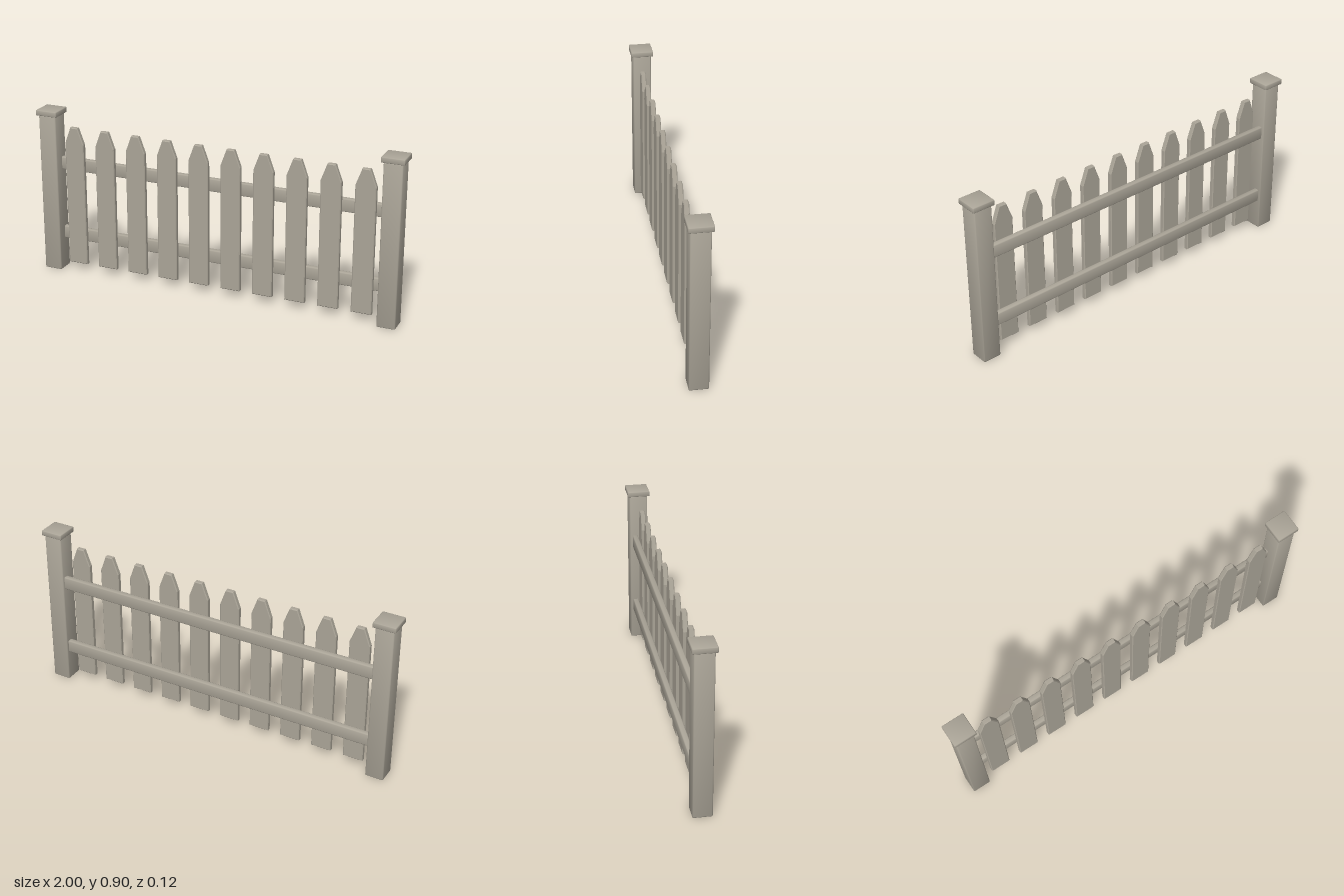
import * as THREE from 'three';
import { RoundedBoxGeometry } from 'three/addons/geometries/RoundedBoxGeometry.js';

const wood = new THREE.MeshStandardMaterial({ color: 0xaba598 });
wood.name = 'weathered wood';

// Box with a small bevel whose soft normals lean outward at the corners
function softBox(w, h, d, bevel) {
  const g = new RoundedBoxGeometry(w, h, d, 1, bevel);
  const p = g.attributes.position, n = g.attributes.normal;
  const v = new THREE.Vector3();
  for (let i = 0; i < p.count; i++) {
    v.set(Math.sign(p.getX(i)), Math.sign(p.getY(i)), Math.sign(p.getZ(i)));
    v.multiplyScalar(0.25).add(new THREE.Vector3().fromBufferAttribute(n, i)).normalize();
    n.setXYZ(i, v.x, v.y, v.z);
  }
  return g;
}

function add(parent, name, geometry, x, y, z) {
  const mesh = new THREE.Mesh(geometry, wood);
  mesh.name = name;
  mesh.position.set(x, y, z);
  parent.add(mesh);
}

// Pointed board with a blunt tip and chamfered edges
function picketGeometry() {
  const b = 0.004;
  const half = 0.054 - b, tip = 0.022 - b;
  const shape = new THREE.Shape();
  shape.moveTo(-half, 0.044 + b);
  shape.lineTo(half, 0.044 + b);
  shape.lineTo(half, 0.72);
  shape.lineTo(tip, 0.81 - b);
  shape.lineTo(-tip, 0.81 - b);
  shape.lineTo(-half, 0.72);
  shape.closePath();
  const g = new THREE.ExtrudeGeometry(shape, {
    depth: 0.026 - 2 * b, bevelEnabled: true, bevelSize: b, bevelThickness: b, bevelSegments: 1,
  });
  g.translate(0, 0, b - 0.006);
  return g;
}

export function createModel() {
  const fence = new THREE.Group();
  fence.name = 'picketFence';

  // End posts with square caps
  const postGeo = softBox(0.098, 0.867, 0.098, 0.006);
  const capGeo = softBox(0.12, 0.029, 0.12, 0.004);
  for (const side of [1, -1]) {
    const post = new THREE.Group();
    post.name = side > 0 ? 'leftPost' : 'rightPost';
    add(post, 'postShaft', postGeo, 0, 0.4335, 0);
    add(post, 'postCap', capGeo, 0, 0.881, 0);
    post.position.x = side * 0.94;
    fence.add(post);
  }

  // Horizontal rails behind the pickets
  const railGeo = softBox(1.8, 0.07, 0.03, 0.006);
  add(fence, 'lowerRail', railGeo, 0, 0.203, -0.02);
  add(fence, 'upperRail', railGeo, 0, 0.597, -0.02);

  // Row of ten pickets
  const picketGeo = picketGeometry();
  for (let i = 0; i < 10; i++) add(fence, 'picket', picketGeo, (i - 4.5) * 0.1778, 0, 0);

  return fence;
}
